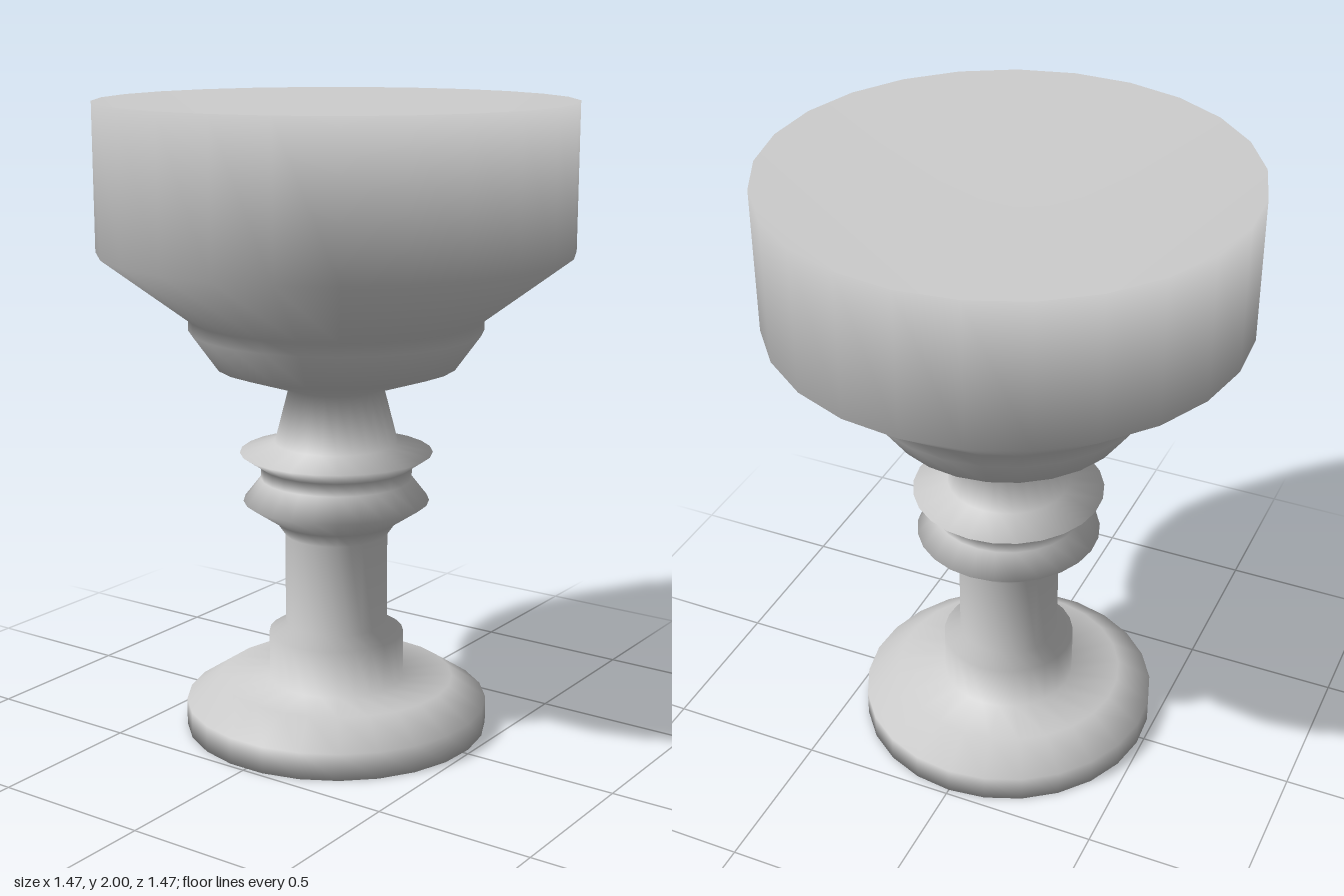
import * as THREE from 'three';
import { mergeVertices } from 'three/addons/utils/BufferGeometryUtils.js';

// Turned outline, radius and height, from the underside centre round to the hollow's lowest point
const profile = [
  // foot
  [0, 0], [0.485, 0], [0.485, 0.085], [0.375, 0.158],
  // collar and shaft
  [0.216, 0.158], [0.216, 0.31], [0.163, 0.343], [0.163, 0.637],
  // double knop
  [0.193, 0.68], [0.295, 0.748], [0.239, 0.82], [0.239, 0.86], [0.305, 0.905], [0.195, 0.937],
  // neck and cup
  [0.15, 1.112], [0.38, 1.187], [0.46, 1.298], [0.46, 1.337],
  // bowl wall, sharp rim and conical hollow
  [0.737, 1.545], [0.737, 2], [0, 1.3],
];

export function createModel() {
  const group = new THREE.Group();
  group.name = 'gobletModel';

  // Shared vertices, so larger faces weigh more in the smooth shading
  const points = profile.map(([r, y]) => new THREE.Vector2(r, y));
  const lathe = new THREE.LatheGeometry(points, 25, Math.PI);
  lathe.deleteAttribute('uv');
  lathe.deleteAttribute('normal');
  const geometry = mergeVertices(lathe);
  geometry.computeVertexNormals();

  // The underside is evenly shaded
  const { position, normal } = geometry.attributes;
  for (let i = 0; i < position.count; i++) {
    if (position.getY(i) === 0) normal.setXYZ(i, 0, -1, 0);
  }

  const goblet = new THREE.Mesh(geometry, new THREE.MeshStandardMaterial({ color: 0xcccccc }));
  goblet.name = 'goblet';
  goblet.position.z = 0.003; // an odd number of sides reaches further back than forward
  group.add(goblet);
  return group;
}
